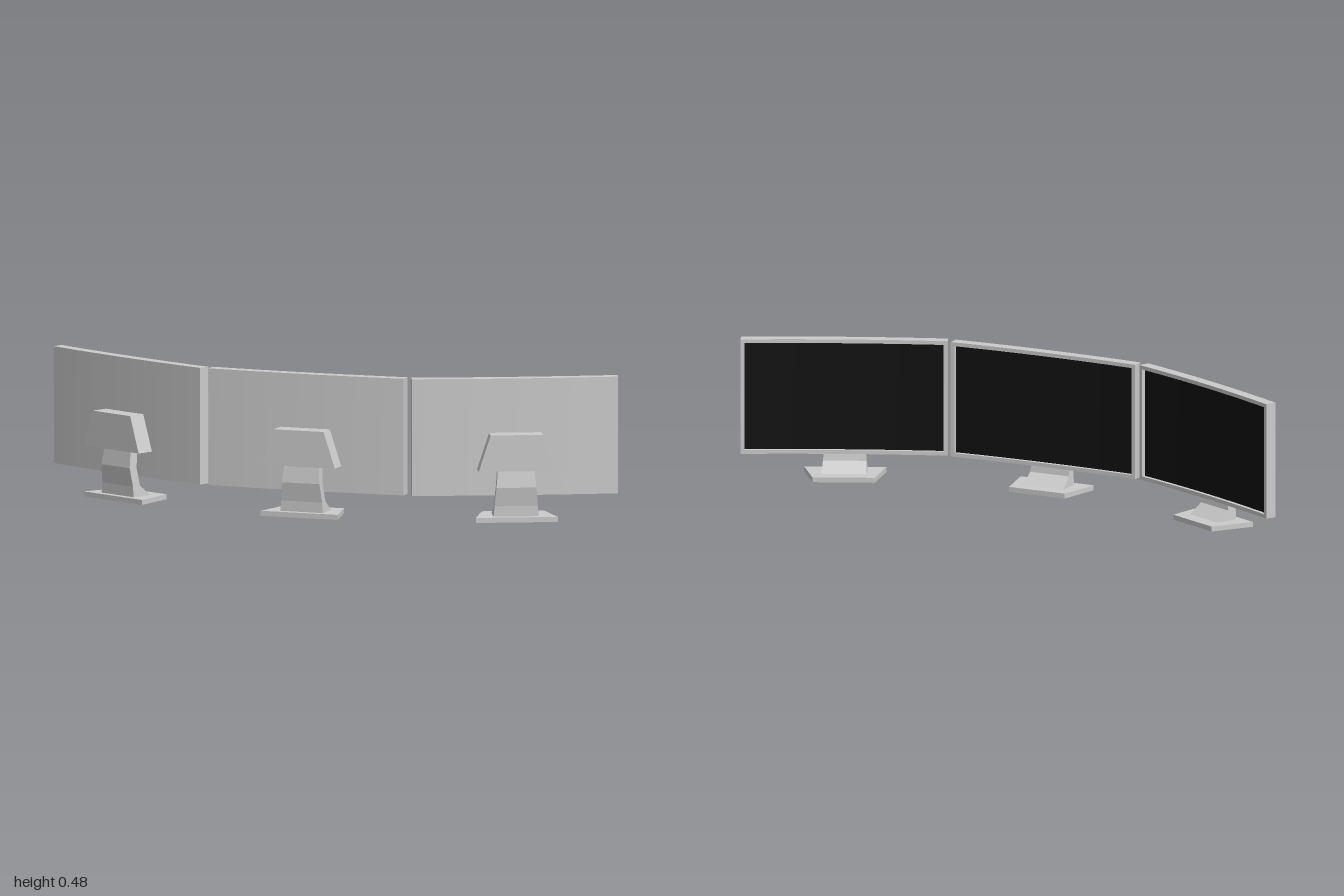
import * as THREE from 'three';

const WIDTH = 0.69, BOTTOM = 0.084, HEIGHT = 0.393, DEPTH = 0.038;
const BEZEL = 0.013, RECESS = 0.014, SAG = 0.012, TURN = THREE.MathUtils.degToRad(25);

const grey = new THREE.MeshStandardMaterial({ color: 0xcccccc });
const black = new THREE.MeshStandardMaterial({ color: 0x111111 });

function addMesh(parent, name, geometry, material = grey) {
  const mesh = new THREE.Mesh(geometry, material);
  mesh.name = name;
  parent.add(mesh);
}

// Bows a geometry towards +z around the middle of the panel
function bend(geometry) {
  const p = geometry.attributes.position;
  for (let i = 0; i < p.count; i++) {
    const t = p.getX(i) / (WIDTH / 2);
    p.setZ(i, p.getZ(i) + SAG * (1 - t * t));
  }
  geometry.computeVertexNormals();
  return geometry;
}

function curvedBox(w, h, d, x, y, z) {
  const segments = w > 0.1 ? 16 : 1;
  return bend(new THREE.BoxGeometry(w, h, d, segments, 1, 1).translate(x, y, z));
}

function prism(points, depth) {
  const shape = new THREE.Shape(points.map(([x, y]) => new THREE.Vector2(x, y)));
  return new THREE.ExtrudeGeometry(shape, { depth, bevelEnabled: false });
}

// Local z = 0 is the back of the panel at its two ends; the screen faces -z
function createMonitor(name) {
  const monitor = new THREE.Group();
  monitor.name = name;
  const midY = BOTTOM + HEIGHT / 2;

  // Curved shell, bezel bars and recessed screen
  const shellDepth = DEPTH - RECESS;
  addMesh(monitor, 'backShell', curvedBox(WIDTH, HEIGHT, shellDepth, 0, midY, -shellDepth / 2));
  const bezelZ = -shellDepth - RECESS / 2;
  for (const s of [-1, 1]) {
    addMesh(monitor, s > 0 ? 'topBezel' : 'bottomBezel',
      curvedBox(WIDTH, BEZEL, RECESS, 0, midY + s * (HEIGHT - BEZEL) / 2, bezelZ));
    addMesh(monitor, s > 0 ? 'leftBezel' : 'rightBezel',
      curvedBox(BEZEL, HEIGHT - 2 * BEZEL, RECESS, s * (WIDTH - BEZEL) / 2, midY, bezelZ));
  }
  const screen = new THREE.PlaneGeometry(WIDTH - 2 * BEZEL, HEIGHT - 2 * BEZEL, 16, 1);
  screen.rotateY(Math.PI).translate(0, midY, -shellDepth - 0.001);
  addMesh(monitor, 'screen', bend(screen), black);

  // Tapered housing on the back
  const housing = prism([[-0.128, 0.173], [0.128, 0.173], [0.088, 0.295], [-0.088, 0.295]], 0.07);
  addMesh(monitor, 'mountHousing', housing.translate(0, 0, 0.003));

  // Bent neck: side profile as (z, y), swept across x and widened towards the foot
  const neck = prism([
    [-0.037, 0.015], [0.044, 0.015], [0.044, 0.052], [0.054, 0.115], [0.044, 0.175],
    [0.011, 0.175], [0.022, 0.115], [0.011, 0.052],
  ], 2);
  neck.translate(0, 0, -1).rotateY(-Math.PI / 2);
  const p = neck.attributes.position;
  for (let i = 0; i < p.count; i++) p.setX(i, p.getX(i) * (0.077 - 0.09 * p.getY(i)));
  neck.computeVertexNormals();
  addMesh(monitor, 'neck', neck);

  // Trapezoid foot plate
  const base = prism([[-0.137, -0.066], [0.137, -0.066], [0.104, 0.082], [-0.104, 0.082]], 0.017);
  addMesh(monitor, 'base', base.rotateX(-Math.PI / 2));
  return monitor;
}

export function createModel() {
  const model = new THREE.Group();
  model.name = 'tripleMonitors';

  const center = createMonitor('centerMonitor');
  center.position.z = 0.127;
  model.add(center);

  // Side monitors, turned inwards
  for (const s of [-1, 1]) {
    const side = createMonitor(s > 0 ? 'leftMonitor' : 'rightMonitor');
    side.position.set(s * 0.688, 0, -0.018);
    side.rotation.y = s * TURN;
    model.add(side);
  }
  return model;
}
